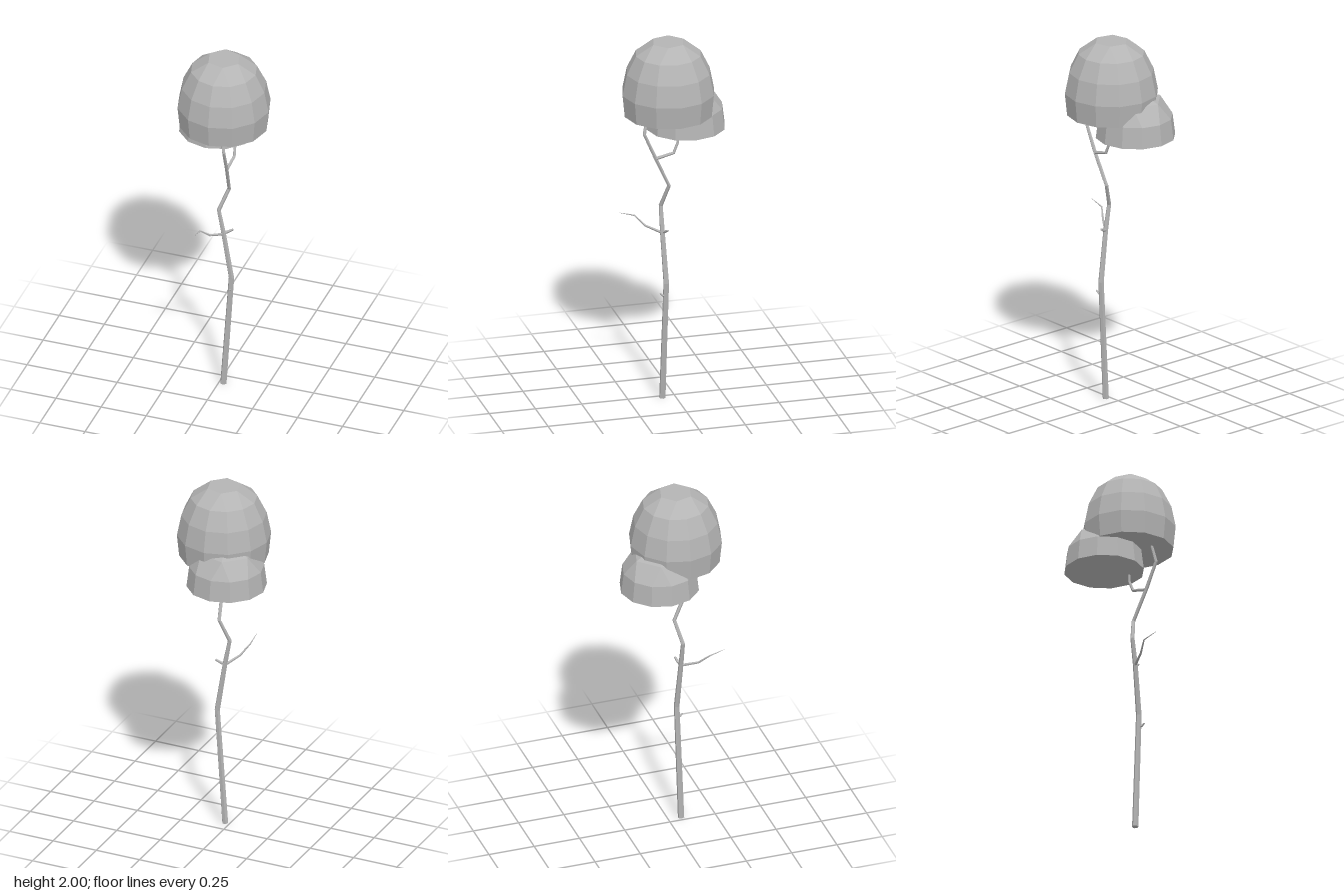
import * as THREE from 'three';

// Closed skin over rings of equal point count, listed from base to tip
function loft(rings) {
  const n = rings[0].length, pos = [];
  const tri = (...pts) => pts.forEach((p) => pos.push(p.x, p.y, p.z));
  for (let r = 0; r < rings.length - 1; r++) {
    const lo = rings[r], up = rings[r + 1];
    for (let i = 0; i < n; i++) {
      const j = (i + 1) % n;
      if (up[i].distanceTo(up[j]) > 1e-6) tri(lo[i], up[i], up[j]);
      if (lo[i].distanceTo(lo[j]) > 1e-6) tri(lo[i], up[j], lo[j]);
    }
  }
  const first = rings[0], last = rings[rings.length - 1];
  for (let i = 1; i < n - 1; i++) {
    tri(first[0], first[i], first[i + 1]);
    tri(last[0], last[i + 1], last[i]);
  }
  const geo = new THREE.BufferGeometry();
  geo.setAttribute('position', new THREE.Float32BufferAttribute(pos, 3));
  geo.computeVertexNormals();
  return geo;
}

// Twelve-sided dome; rings flagged "six" merge neighbouring points into a hexagon
function dome(cx, cz, profile) {
  return loft(profile.map(([radius, y, six]) =>
    Array.from({ length: 12 }, (_, i) => {
      const a = THREE.MathUtils.degToRad(six ? 15 + 60 * Math.floor(i / 2) : 30 * i);
      return new THREE.Vector3(cx + radius * Math.cos(a), y, cz + radius * Math.sin(a));
    })));
}

// Tapered, kinked limb through points [x, y, z, radius]
function limb(points, sides = 6) {
  const p = points.map(([x, y, z]) => new THREE.Vector3(x, y, z));
  const whole = p[p.length - 1].clone().sub(p[0]).normalize();
  const ref = Math.abs(whole.x) > 0.7 ? new THREE.Vector3(0, 0, 1) : new THREE.Vector3(1, 0, 0);
  return loft(p.map((c, k) => {
    const f = new THREE.Vector3();
    if (k > 0) f.add(c.clone().sub(p[k - 1]).normalize());
    if (k < p.length - 1) f.add(p[k + 1].clone().sub(c).normalize());
    f.normalize();
    const u = ref.clone().addScaledVector(f, -ref.dot(f)).normalize();
    const v = u.clone().cross(f);
    return Array.from({ length: sides }, (_, i) => {
      const a = (i / sides) * Math.PI * 2;
      return c.clone().addScaledVector(u, points[k][3] * Math.cos(a))
        .addScaledVector(v, points[k][3] * Math.sin(a));
    });
  }));
}

export function createModel() {
  const tree = new THREE.Group();
  tree.name = 'tree';
  const grey = new THREE.MeshStandardMaterial({ color: 0xb4b4b4 });
  grey.name = 'plain grey';
  grey.flatShading = true;
  const add = (name, geo) => {
    const mesh = new THREE.Mesh(geo, grey);
    mesh.name = name;
    tree.add(mesh);
  };

  // Foliage
  add('upperCanopy', dome(0.016, 0.036, [
    [0.235, 1.6], [0.247, 1.72], [0.224, 1.835], [0.175, 1.935], [0.09, 2, true],
  ]));
  add('lowerCanopy', dome(-0.053, -0.077, [
    [0.211, 1.487], [0.197, 1.6], [0.143, 1.69, true], [0.03, 1.735, true],
  ]));

  // Trunk and limbs
  add('trunk', limb([
    [0.025, 0, 0.07, 0.017], [0.066, 0.66, 0.06, 0.015], [0.025, 0.94, 0.07, 0.013],
    [0, 1.075, 0.072, 0.011], [0.046, 1.2, 0.04, 0.01], [0.06, 1.37, 0.117, 0.01],
    [0.065, 1.51, 0.178, 0.009], [0.046, 1.63, 0.155, 0.007],
  ]));
  add('upperBranch', limb([
    [0.06, 1.365, 0.117, 0.009], [0.067, 1.392, 0.02, 0.008],
    [0.064, 1.445, -0.002, 0.007], [0.06, 1.54, -0.004, 0.006],
  ]));
  add('frontBranch', limb([
    [0.025, 0.93, 0.07, 0.008], [-0.024, 0.96, 0.15, 0.006],
    [-0.058, 1.01, 0.2, 0.004], [-0.058, 1.032, 0.28, 0.001],
  ], 5));
  add('sideStub', limb([
    [0.022, 0.932, 0.07, 0.009], [0.045, 0.942, 0.06, 0.008], [0.072, 0.957, 0.052, 0.006],
  ], 5));
  add('lowerStub', limb([
    [0.062, 0.588, 0.062, 0.008], [0.068, 0.595, 0.082, 0.006], [0.07, 0.606, 0.094, 0.004],
  ], 5));
  return tree;
}
